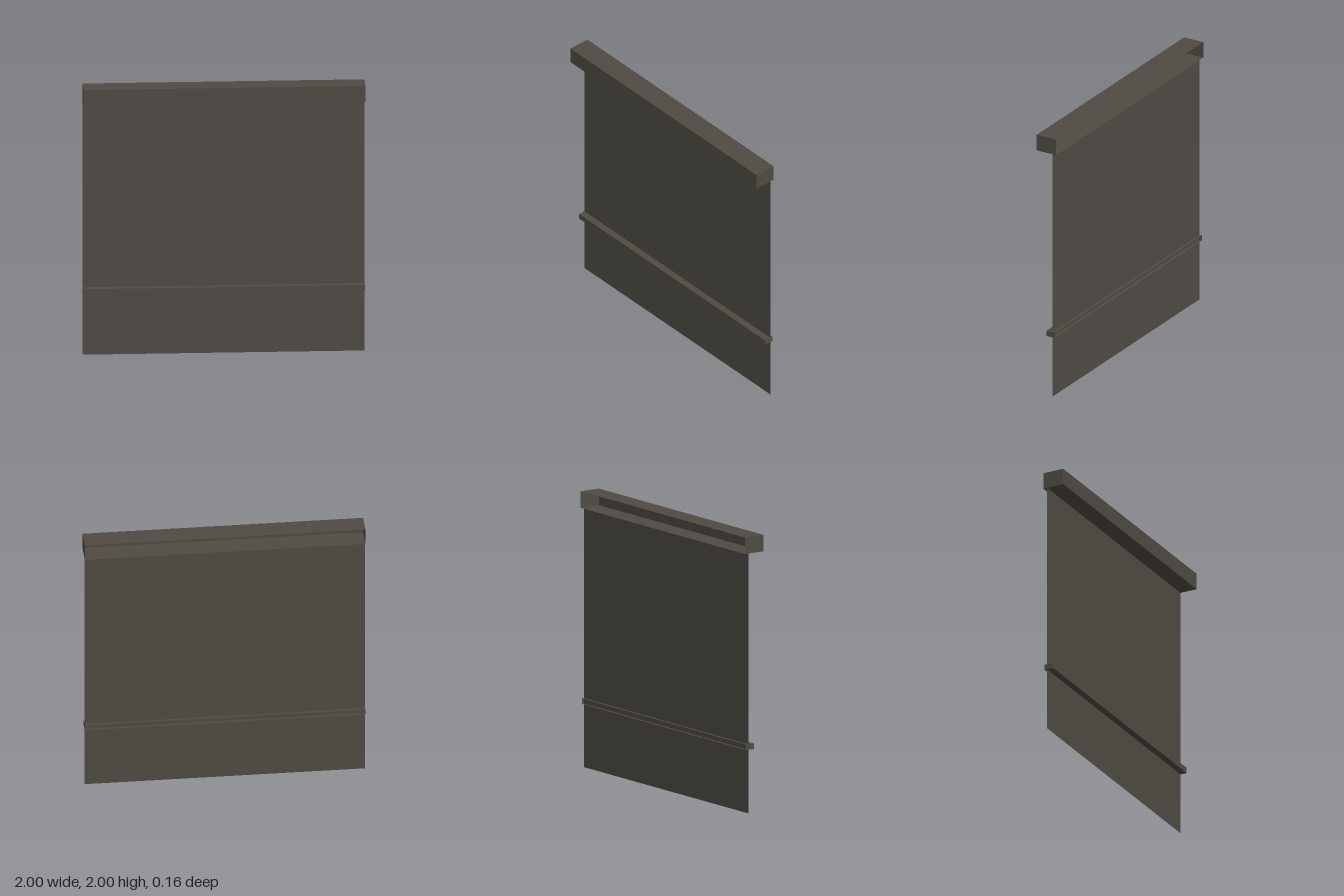
import * as THREE from 'three';

const WIDTH = 2;

// Thin-walled channel: a box whose back (-z) face is left open
function channel(name, y0, y1, z0, z1, material) {
  const geometry = new THREE.BoxGeometry(WIDTH, y1 - y0, z1 - z0);
  geometry.setIndex(Array.from(geometry.index.array).slice(0, 30));
  geometry.clearGroups();
  const mesh = new THREE.Mesh(geometry, material);
  mesh.name = name;
  mesh.position.set(0, (y0 + y1) / 2, (z0 + z1) / 2);
  return mesh;
}

export function createModel() {
  const group = new THREE.Group();
  group.name = 'rollerBlind';

  const fabric = new THREE.MeshStandardMaterial({ color: 0x4f4b44, side: THREE.DoubleSide });
  fabric.name = 'dark taupe';

  // Head box and lower rail, both open at the back
  group.add(channel('headBox', 1.88, 2, -0.08, 0.08, fabric));
  group.add(channel('lowerRail', 0.46, 0.5, -0.07, 0, fabric));

  // Hanging sheet, running through the rail up to the head box floor
  const sheet = new THREE.Mesh(new THREE.PlaneGeometry(WIDTH, 1.88), fabric);
  sheet.name = 'sheet';
  sheet.position.set(0, 0.94, -0.05);
  group.add(sheet);

  return group;
}
